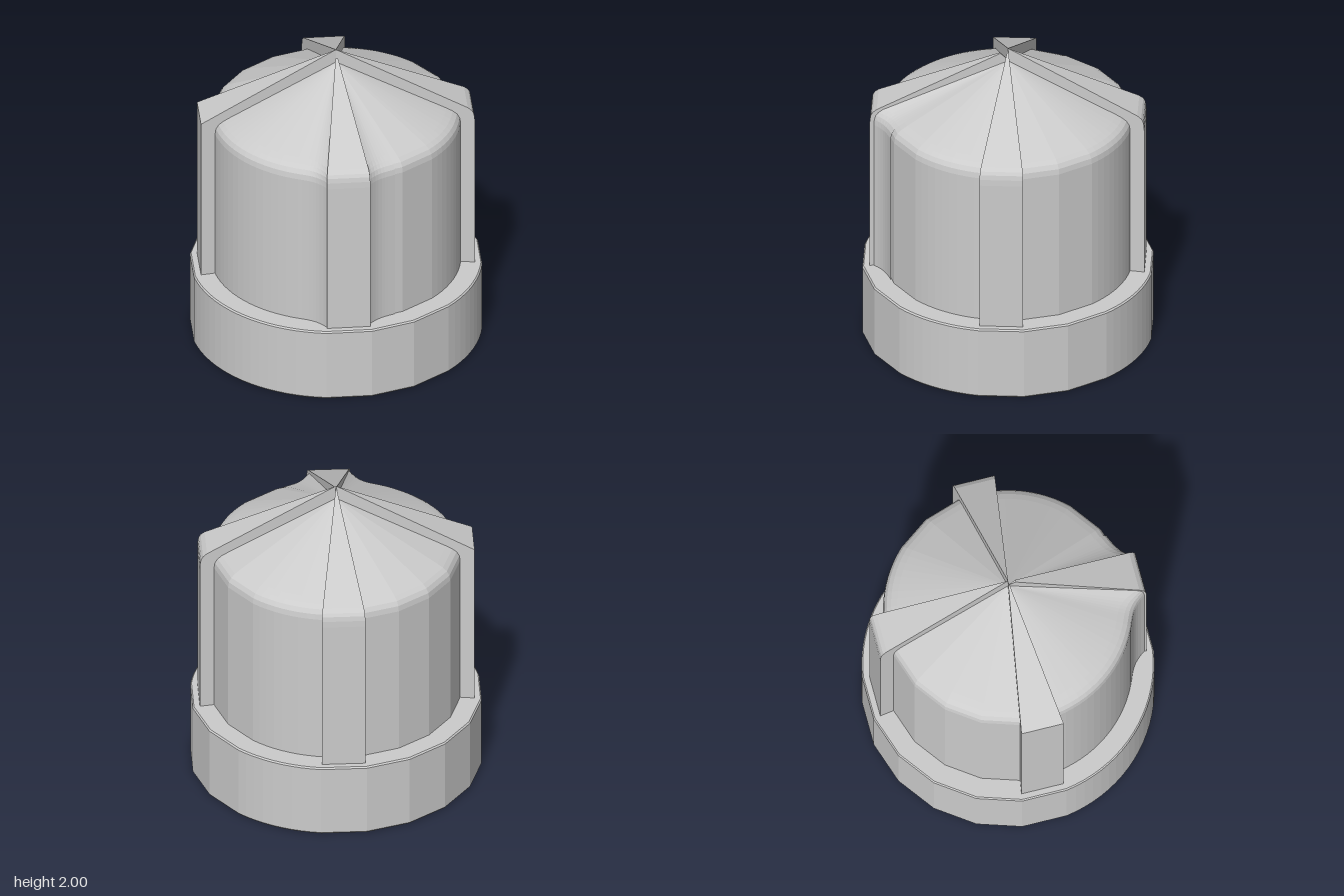
import * as THREE from 'three';

const rad = THREE.MathUtils.degToRad;
const points = (list) => list.map(([x, y]) => new THREE.Vector2(x, y));
const material = new THREE.MeshStandardMaterial({ color: 0xcccccc, flatShading: true, side: THREE.DoubleSide });

// Sectors around the axis: start angle, end angle, segments (broad facets or finely rounded)
const sectors = [[0, 54, 3], [54, 90, 9], [90, 144, 3], [144, 180, 9], [180, 288, 6], [288, 360, 18]];

const baseProfile = [[0, 0.005], [0.907, 0.005], [0.915, 0.015], [0.915, 0.48], [0.907, 0.49], [0, 0.49]];
const bodyProfile = [[0.78, 0.48], [0.78, 1.5], [0.774, 1.535], [0.757, 1.563], [0.73, 1.583], [0.69, 1.603], [0, 1.91]];
// Same number of points as the body, so fillets can blend between the two
const ribProfile = [[0.87, 0.48], [0.87, 1.5], [0.868, 1.54], [0.862, 1.57], [0.85, 1.59], [0.825, 1.61], [0, 2]];
const sharpRibProfile = [[0.87, 0.48], [0.87, 1.585], [0, 2]];
const frontRibProfile = [...ribProfile.slice(0, 6), [0.05, 1.965], [0.02, 1.94], [0, 1.91]];

function addMesh(parent, geometry, name) {
  const mesh = new THREE.Mesh(geometry, material);
  mesh.name = name;
  parent.add(mesh);
  return mesh;
}

function revolve(profile, name) {
  const group = new THREE.Group();
  group.name = name;
  for (const [from, to, segments] of sectors) {
    addMesh(group, new THREE.LatheGeometry(points(profile), segments, rad(from), rad(to - from)), name + 'Sector');
  }
  return group;
}

// An 18 degree wedge: outer skin plus two flat side walls
function rib(profile, name) {
  const group = new THREE.Group();
  group.name = name;
  addMesh(group, new THREE.LatheGeometry(points(profile), 1, 0, rad(18)), name + 'Skin');
  const outline = new THREE.Shape(points([[0, 0.48], ...profile]));
  for (const angle of [0, 18]) {
    const wall = addMesh(group, new THREE.ShapeGeometry(outline), name + 'Wall');
    wall.rotation.y = rad(angle - 90);
  }
  return group;
}

// Concave blend from the body up to the side of a rib
function fillet(ribAngle, span, strength) {
  const n = bodyProfile.length, segments = 8;
  const geometry = new THREE.LatheGeometry(points(bodyProfile), segments, 0, rad(1));
  const position = geometry.attributes.position;
  for (let i = 0; i <= segments; i++) {
    const t = span > 0 ? i / segments : 1 - i / segments;
    const angle = rad(ribAngle + span * t);
    const weight = strength * (1 - t) ** 3;
    for (let j = 0; j < n; j++) {
      const r = THREE.MathUtils.lerp(bodyProfile[j][0], ribProfile[j][0], weight);
      const y = THREE.MathUtils.lerp(bodyProfile[j][1], ribProfile[j][1], j === n - 1 ? 0 : weight);
      position.setXYZ(i * n + j, r * Math.sin(angle), y, r * Math.cos(angle));
    }
  }
  geometry.computeVertexNormals();
  return geometry;
}

export function createModel() {
  const model = new THREE.Group();
  model.name = 'ribbedCap';

  // Round foot and domed body
  model.add(revolve(baseProfile, 'base'), revolve(bodyProfile, 'body'));

  // Four ribs, a quarter turn apart
  const ribs = [
    ['frontRib', frontRibProfile], ['leftRib', ribProfile], ['backRib', ribProfile], ['rightRib', sharpRibProfile],
  ];
  ribs.forEach(([name, profile], i) => {
    const part = rib(profile, name);
    part.rotation.y = i * Math.PI / 2;
    model.add(part);
  });

  // Fillets either side of the front rib
  addMesh(model, fillet(0, -14, 0.85), 'frontRibFilletRight');
  addMesh(model, fillet(18, 14, 0.7), 'frontRibFilletLeft');
  return model;
}
